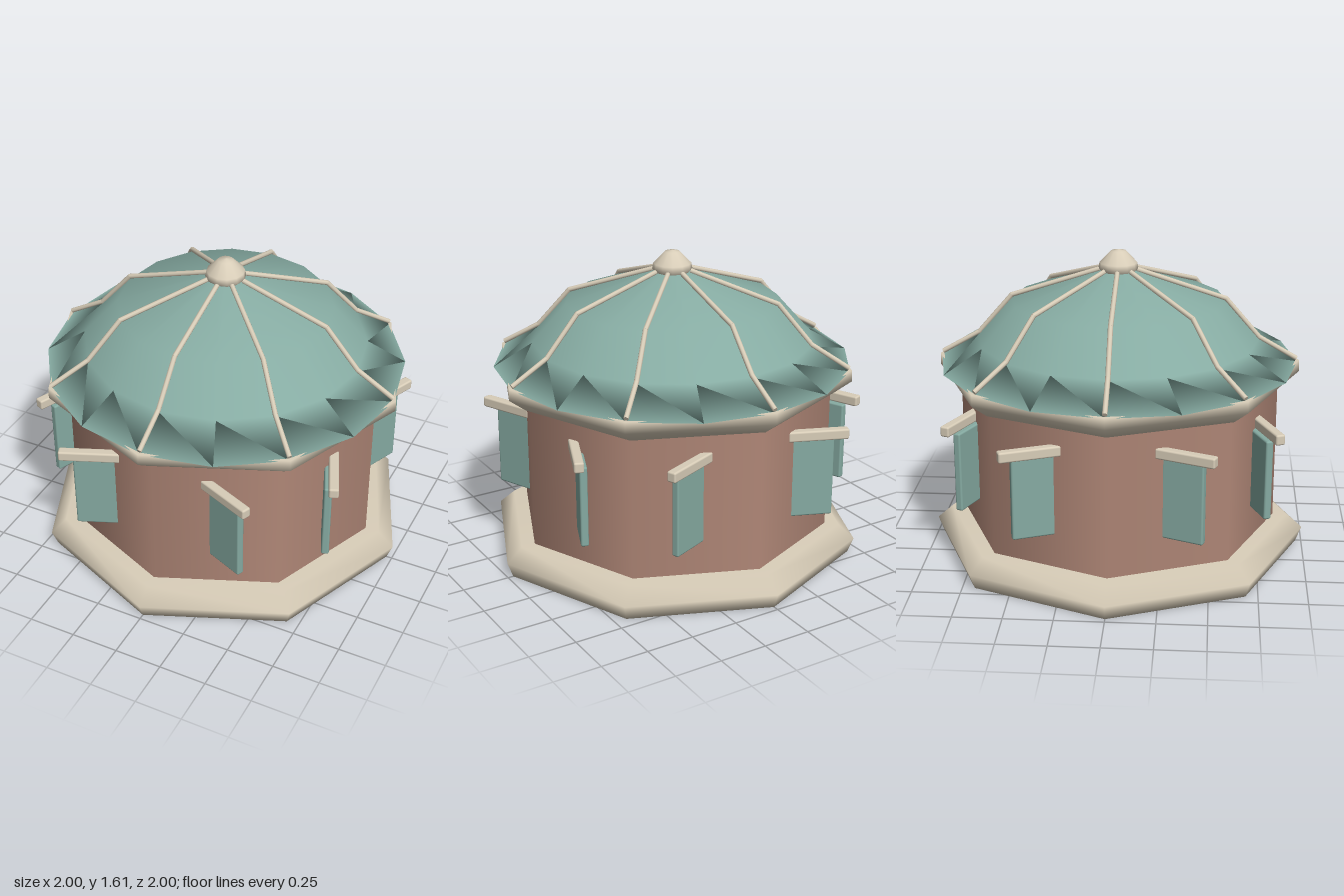
import * as THREE from 'three';
import { RoundedBoxGeometry } from 'three/addons/geometries/RoundedBoxGeometry.js';

const material = (name, color) => {
  const m = new THREE.MeshStandardMaterial({ color });
  m.name = name;
  return m;
};

export function createModel() {
  const stone = material('pale stone', 0xd8cdb8);
  const brick = material('brick brown', 0xb08777);
  const copper = material('green copper', 0x86aba2);
  const model = new THREE.Group();
  model.name = 'pavilion';

  const add = (name, geometry, mat, parent = model) => {
    const mesh = new THREE.Mesh(geometry, mat);
    mesh.name = name;
    parent.add(mesh);
    return mesh;
  };
  const turned = (name, profile, sides, mat) =>
    add(name, new THREE.LatheGeometry(profile.map(([r, y]) => new THREE.Vector2(r, y)), sides), mat);

  // Octagonal plinth, wall and cornice, with corners on the axes
  turned('plinth', [[0, 0], [0.97, 0], [1, 0.08], [0.915, 0.155], [0, 0.155]], 8, stone);
  turned('wall', [[0.84, 0.14], [0.84, 0.92]], 8, brick);
  turned('cornice', [[0.8, 0.905], [0.86, 0.905], [0.95, 0.975], [0.948, 1.034], [0, 1.034]], 8, stone);

  // Bell-shaped roof and the finial on its top
  turned('roof', [[0, 1.028], [0.937, 1.028], [0.735, 1.148], [0.555, 1.35], [0.1, 1.5], [0, 1.515]], 16, copper);
  turned('finial', [[0, 1.485], [0.075, 1.485], [0.104, 1.515], [0.098, 1.545], [0.04, 1.605], [0, 1.613]], 12, stone);

  // Eight roof ribs, each a chain of three straight bars
  const ribPath = [[0.93, 1.047], [0.735, 1.158], [0.558, 1.362], [0.1, 1.508]]
    .map(([r, y]) => new THREE.Vector3(0, y, r));
  const up = new THREE.Vector3(0, 1, 0);
  for (let i = 0; i < 8; i++) {
    const rib = new THREE.Group();
    rib.name = 'roofRib';
    for (let k = 0; k < 3; k++) {
      const along = ribPath[k + 1].clone().sub(ribPath[k]);
      const bar = add('ribBar', new THREE.CylinderGeometry(0.013, 0.013, along.length() + 0.006, 8), stone, rib);
      bar.position.copy(ribPath[k]).addScaledVector(along, 0.5);
      bar.quaternion.setFromUnitVectors(up, along.normalize());
    }
    rib.rotation.y = i * Math.PI / 4;
    model.add(rib);
  }

  // Shuttered windows standing out from the wall, mirrored into each quadrant
  const shutter = new RoundedBoxGeometry(0.222, 0.425, 0.04, 2, 0.01);
  const lintel = new RoundedBoxGeometry(0.315, 0.055, 0.05, 2, 0.01);
  for (const sx of [1, -1]) for (const sz of [1, -1]) for (const onSide of [false, true]) {
    const place = (mesh, near, far, y) => {
      mesh.position.set(sx * (onSide ? far : near), y, sz * (onSide ? near : far));
      mesh.rotation.y = -sx * sz * Math.PI * (onSide ? 3 : 1) / 8;
    };
    place(add('shutter', shutter, copper), 0.37, 0.75, 0.543);
    place(add('lintel', lintel, stone), 0.38, 0.782, 0.783);
  }

  return model;
}
